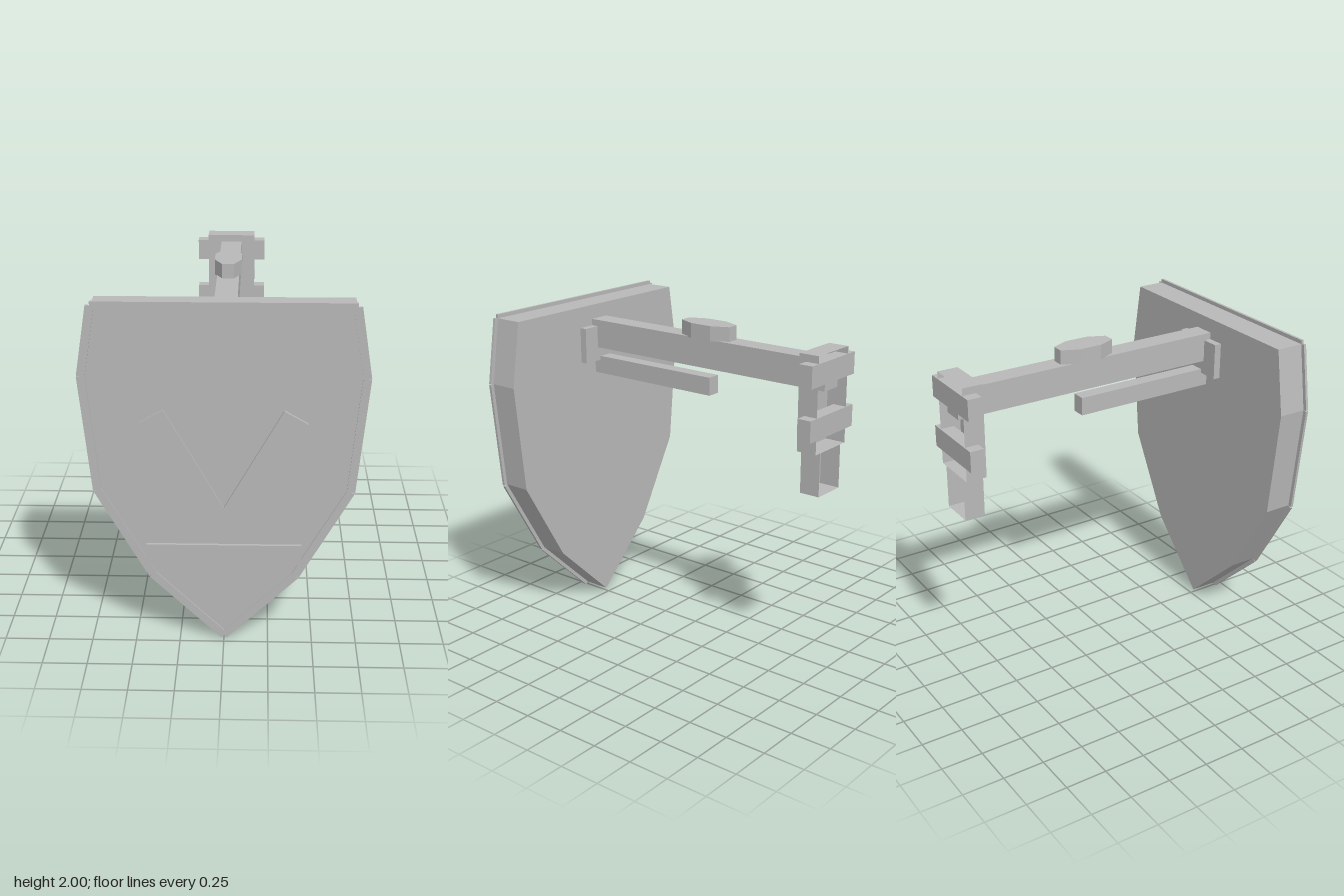
import * as THREE from 'three';

export function createModel() {
  const group = new THREE.Group();
  const grey = new THREE.MeshStandardMaterial({ color: 0xb8b8b8, side: THREE.DoubleSide });
  grey.name = 'plain grey';

  const add = (name, geometry, parent = group) => {
    const mesh = new THREE.Mesh(geometry, grey);
    mesh.name = name;
    parent.add(mesh);
    return mesh;
  };
  // Box given by its limits on each axis
  const span = ([x0, x1], [y0, y1], [z0, z1]) =>
    new THREE.BoxGeometry(x1 - x0, y1 - y0, z1 - z0)
      .translate((x0 + x1) / 2, (y0 + y1) / 2, (z0 + z1) / 2);
  // Flat outline pushed out from z0 to z1
  const plate = (points, z0, z1) =>
    new THREE.ExtrudeGeometry(new THREE.Shape(points.map(p => new THREE.Vector2(...p))),
      { depth: z1 - z0, bevelEnabled: false }).translate(0, 0, z0);
  // Adds the mirrored half of an outline whose points run along +x
  const mirrored = half => [...half,
    ...half.filter(p => p[0] > 0).reverse().map(([x, y]) => [-x, y])];

  // Shield body
  const outline = mirrored([[0, 0.022], [0.4, 0.41], [0.695, 0.93], [0.76, 1.587], [0.697, 1.978]]);
  add('shieldBody', plate(outline, 0.772, 0.95));

  // Rim: one square-ended strip along each edge
  const rim = new THREE.Group();
  rim.name = 'shieldRim';
  group.add(rim);
  outline.forEach(([x, y], i) => {
    const [x2, y2] = outline[(i + 1) % outline.length];
    const strip = add('rimStrip',
      new THREE.BoxGeometry(Math.hypot(x2 - x, y2 - y), 0.046, 0.016), rim);
    strip.position.set((x + x2) / 2, (y + y2) / 2, 0.95);
    strip.rotation.z = Math.atan2(y2 - y, x2 - x);
  });

  // Raised chevron and bar on the face
  add('chevron', plate([[0, 0.675], [0.065, 0.64], [0.455, 1.33], [0.325, 1.405],
    [0, 0.83], [-0.325, 1.405], [-0.455, 1.33], [-0.065, 0.64]], 0.945, 0.968));
  add('crossBar', span([-0.432, 0.432], [0.482, 0.603], [0.945, 0.968]));

  // Arm, its mounting plate and the lower rod
  add('mountingPlate', span([-0.172, 0.172], [1.63, 1.85], [0.728, 0.775]));
  add('arm', span([-0.065, 0.065], [1.715, 1.89], [-0.955, 0.775]));
  add('lowerRod', span([-0.043, 0.043], [1.545, 1.655], [-0.14, 0.775]));

  // Eight-sided knob on top of the arm
  const knob = plate([[-0.035, -0.175], [0.035, -0.175], [0.08, -0.07], [0.08, 0.07],
    [0.035, 0.175], [-0.035, 0.175], [-0.08, 0.07], [-0.08, -0.07]], 0, 0.09);
  add('knob', knob.rotateX(-Math.PI / 2).translate(0, 1.886, -0.102));

  // Grip housings: sheet boxes open at the back
  const openBox = (...limits) => {
    const g = span(...limits);
    g.setIndex([...g.index.array].slice(0, 30));
    g.clearGroups();
    return g;
  };
  add('upperHousing', openBox([-0.15, 0.15], [1.37, 1.933], [-0.965, -0.84]));
  add('lowerHousing', openBox([-0.105, 0.105], [1.11, 1.37], [-0.965, -0.84]));

  // Clamps across the housing
  for (const y of [1.455, 1.762])
    add('clamp', span([-0.217, 0.217], [y, y + 0.128], [-0.968, -0.882]));

  return group;
}
